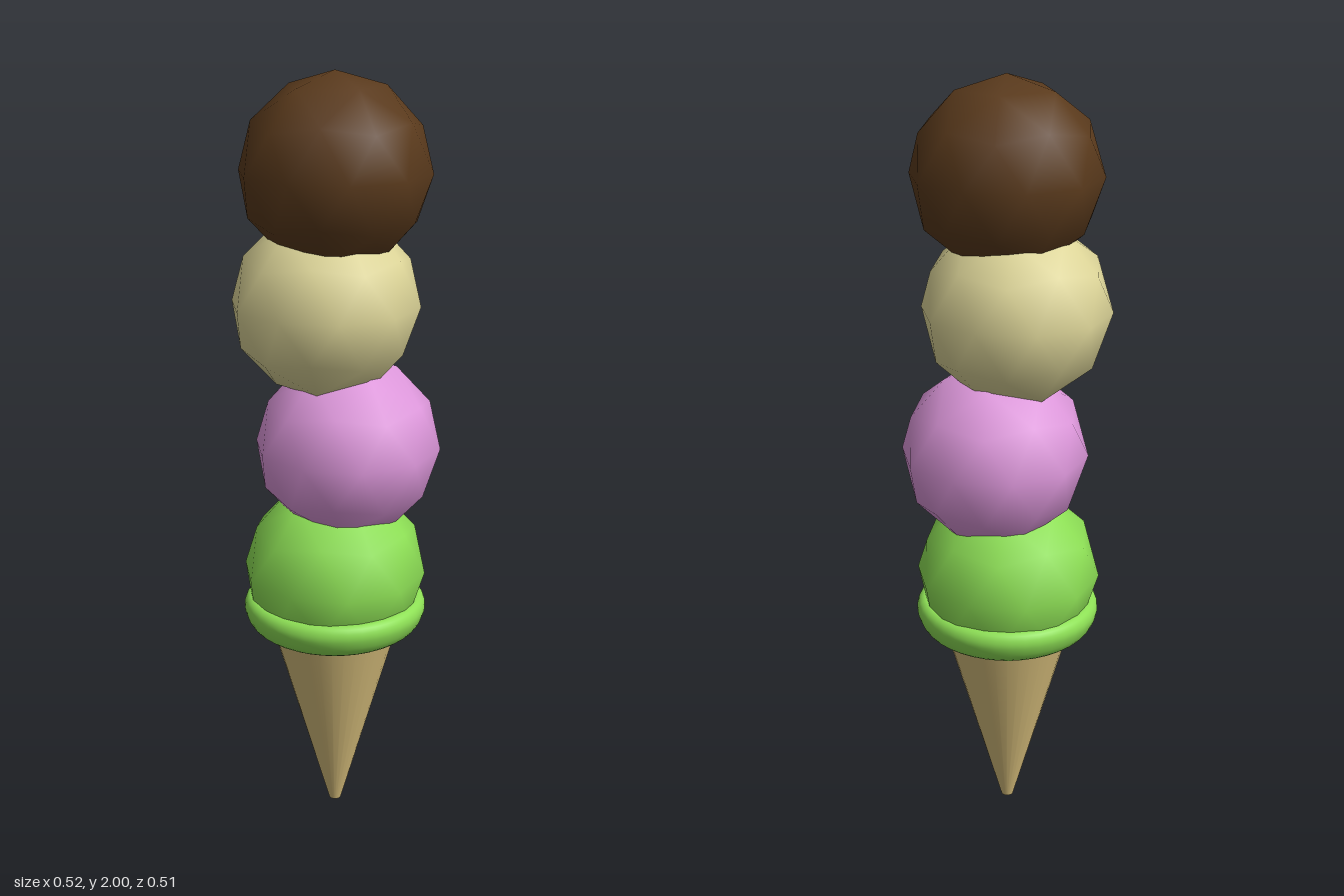
import * as THREE from 'three';

const AXIS_X = -0.006, AXIS_Z = -0.01;

function addMesh(group, name, geometry, color, x, y, z) {
  const material = new THREE.MeshStandardMaterial({ color });
  const mesh = new THREE.Mesh(geometry, material);
  mesh.name = name;
  mesh.position.set(x, y, z);
  group.add(mesh);
}

// Closed profile of [radius, height] points, smoothed and spun round the y axis
function lathe(points, steps, segments) {
  const curve = new THREE.SplineCurve(points.map(([r, y]) => new THREE.Vector2(r, y)));
  return new THREE.LatheGeometry(curve.getPoints(steps), segments);
}

export function createModel() {
  const group = new THREE.Group();
  group.name = 'iceCreamCone';

  // Wafer cone with a blunt closed tip
  const cone = new THREE.CylinderGeometry(0.176, 0.016, 0.56, 32);
  addMesh(group, 'waferCone', cone, 0xd8bf7c, AXIS_X, 0.28, AXIS_Z);

  // Melted rim spilling over the top of the cone
  const rim = lathe([
    [0.14, 0.53], [0.175, 0.525], [0.222, 0.55], [0.242, 0.59],
    [0.238, 0.618], [0.22, 0.63], [0.2, 0.618], [0.17, 0.59]
  ], 28, 40);
  addMesh(group, 'meltedRim', rim, 0x8ddf55, AXIS_X, 0, AXIS_Z);

  // Coarse round scoops, stacked slightly off centre; one corner points straight up
  const ball = new THREE.IcosahedronGeometry(0.243, 1);
  ball.rotateZ(-Math.atan(2 / (1 + Math.sqrt(5))));
  const scoops = [
    ['greenScoop', 0x8ddf55, -0.007, 0.7, -0.012],
    ['pinkScoop', 0xde98dc, 0.028, 1.045, -0.012],
    ['creamScoop', 0xded699, -0.029, 1.423, -0.012],
    ['brownScoop', 0x5a3a1c, -0.008, 1.757, 0.012]
  ];
  for (const [name, color, x, y, z] of scoops) addMesh(group, name, ball, color, x, y, z);

  return group;
}
